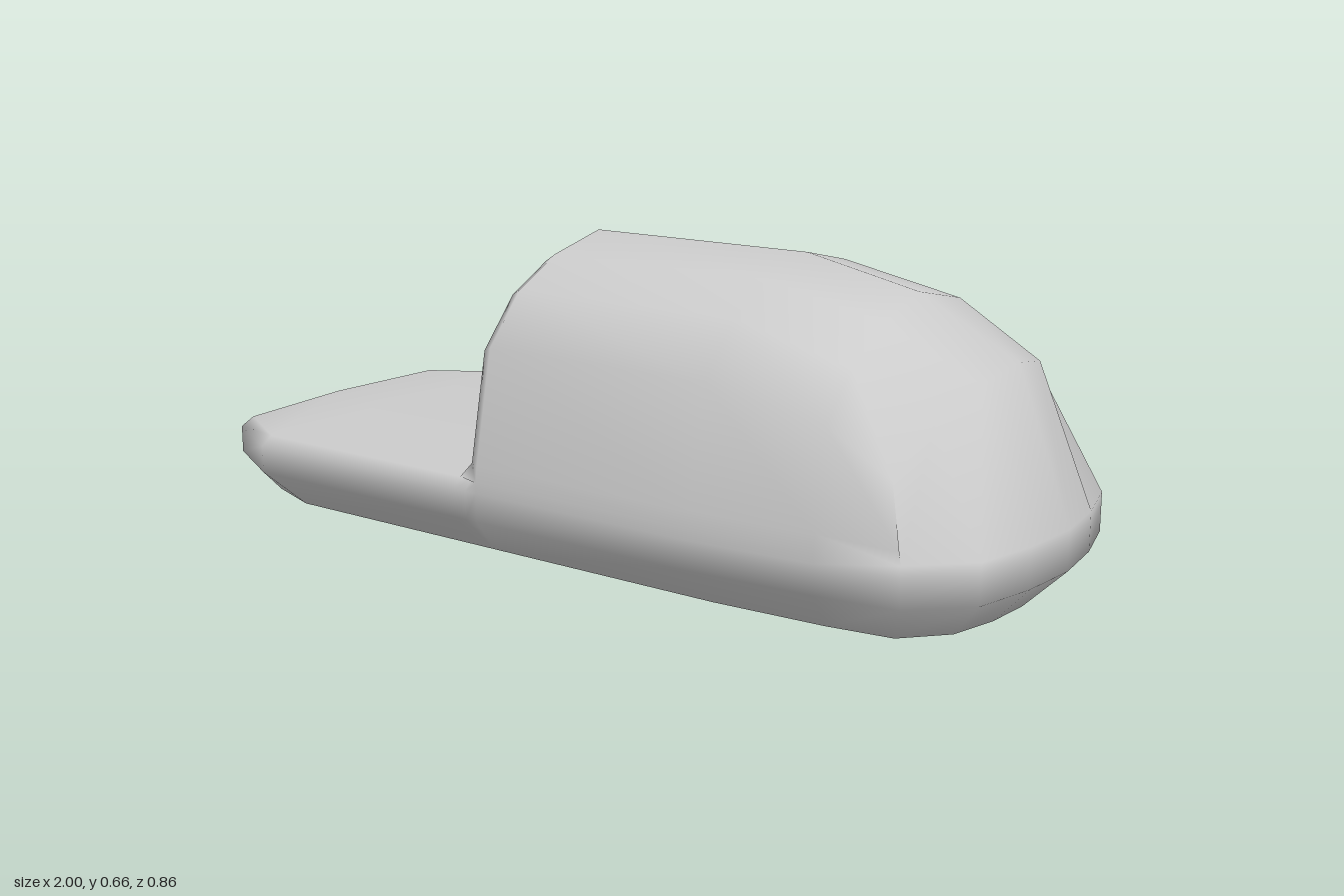
import * as THREE from 'three';
import { mergeGeometries, mergeVertices } from 'three/addons/utils/BufferGeometryUtils.js';

// Skin a list of rows, each a list of [x, y, z] points
function skin(rows) {
  const n = rows[0].length, index = [];
  for (let i = 0; i < rows.length - 1; i++) {
    for (let j = 0; j < n - 1; j++) {
      const a = i * n + j, d = a + n;
      index.push(a, a + 1, d + 1, a, d + 1, d);
    }
  }
  const g = new THREE.BufferGeometry();
  g.setAttribute('position', new THREE.Float32BufferAttribute(rows.flat(2), 3));
  g.setIndex(index);
  return g;
}

// Mirror a half row, whose last point lies on z = 0, into a full arch from -z to +z
const arch = (half) => [
  ...half.map(([x, y, z]) => [x, y, -z]),
  ...half.slice(0, -1).reverse(),
];

// Closed loop around the sole from half an outline, heel to toe along +z
const loop = (half, y) => [
  ...half.map(([x, z]) => [x, y, z]),
  ...half.slice(0, -1).reverse().map(([x, z]) => [x, y, -z]),
];

export function createModel() {
  const floorY = 0.175;

  // Sole rim: chamfered wall, open underneath
  const toe = [[-0.14, 0.43], [0.4, 0.43], [0.67, 0.408], [0.84, 0.385], [0.95, 0.28], [0.985, 0.14], [1, 0]];
  const heel = [[-1, 0], [-0.97, 0.33], [-0.79, 0.43], [-0.2, 0.43], [-0.17, 0.43]];
  const heelTop = [[-0.975, 0], [-0.95, 0.31], [-0.78, 0.41], [-0.2, 0.41], [-0.17, 0.41]];
  const bottom = [
    [-0.91, 0], [-0.885, 0.29], [-0.75, 0.34], [-0.2, 0.34], [-0.17, 0.34], [-0.14, 0.34],
    [0.4, 0.34], [0.65, 0.325], [0.79, 0.305], [0.87, 0.22], [0.9, 0.11], [0.91, 0],
  ];
  const outline = [...heel, ...toe];
  const rim = skin([
    loop(bottom, 0),
    loop(outline, 0.09),
    loop(outline, 0.152),
    loop([...heelTop, ...toe], floorY),
  ]);

  // Insole, dipping into the foot pocket: [x, y, half width]
  const insole = skin([
    [-0.95, floorY, 0.31, -0.975], [-0.78, floorY, 0.41], [-0.2, floorY, 0.41],
    [-0.17, floorY, 0.348], [-0.12, 0.15, 0.3], [0.4, 0.095, 0.285],
  ].map(([x, y, z, mid = x]) => [[x, y, -z], [mid, y, 0], [x, y, z]]));

  // Upper: half section as [z, y] from foot to ridge
  const section = [[0.43, floorY], [0.425, 0.21], [0.375, 0.455], [0.275, 0.565], [0.155, 0.625], [0, 0.66]];
  const station = (x, sz = 1, sy = 1, foot = [x, floorY, 0.43 * sz], lean = 0) =>
    arch(section.map(([z, y], j) => j === 0 ? foot
      : [x - lean * (y - floorY), floorY + (y - floorY) * sy, z * sz]));

  const pocketEnd = station(0.4, 0.66, 0.78, [0.4, 0.095, 0.285], 0.1);
  const upper = skin([
    // closed end of the pocket, its lining, then the lip
    pocketEnd.map(([, , z]) => [0.4, 0.095, z]),
    pocketEnd,
    station(-0.12, 0.72, 0.83, [-0.12, 0.15, 0.3]),
    station(-0.17, 0.81, 0.87, [-0.17, floorY, 0.348]),
    station(-0.17, 0.955, 0.96, [-0.2, floorY, 0.41]),
    // outer skin
    station(-0.14),
    station(0.4),
    arch([[0.67, floorY, 0.408], [0.67, 0.21, 0.405], [0.67, 0.41, 0.372],
      [0.67, 0.5, 0.28], [0.67, 0.57, 0.16], [0.66, 0.605, 0]]),
    arch([[0.84, floorY, 0.385], [0.835, 0.2, 0.382], [0.8, 0.32, 0.35],
      [0.825, 0.41, 0.24], [0.865, 0.468, 0.13], [0.88, 0.49, 0]]),
    // toe front, down to the rim
    arch([[0.84, floorY, 0.385], [0.84, floorY, 0.385], [0.84, floorY, 0.385],
      [0.95, floorY, 0.28], [0.985, floorY, 0.14], [1, floorY, 0]]),
  ]);

  // One welded smooth shell
  const geometry = mergeVertices(mergeGeometries([rim, insole, upper]), 1e-4);
  geometry.computeVertexNormals();
  const material = new THREE.MeshStandardMaterial({ color: 0xcccccc, side: THREE.DoubleSide });
  const mesh = new THREE.Mesh(geometry, material);
  mesh.name = 'slipperShell';

  const group = new THREE.Group();
  group.name = 'slipper';
  group.add(mesh);
  return group;
}
